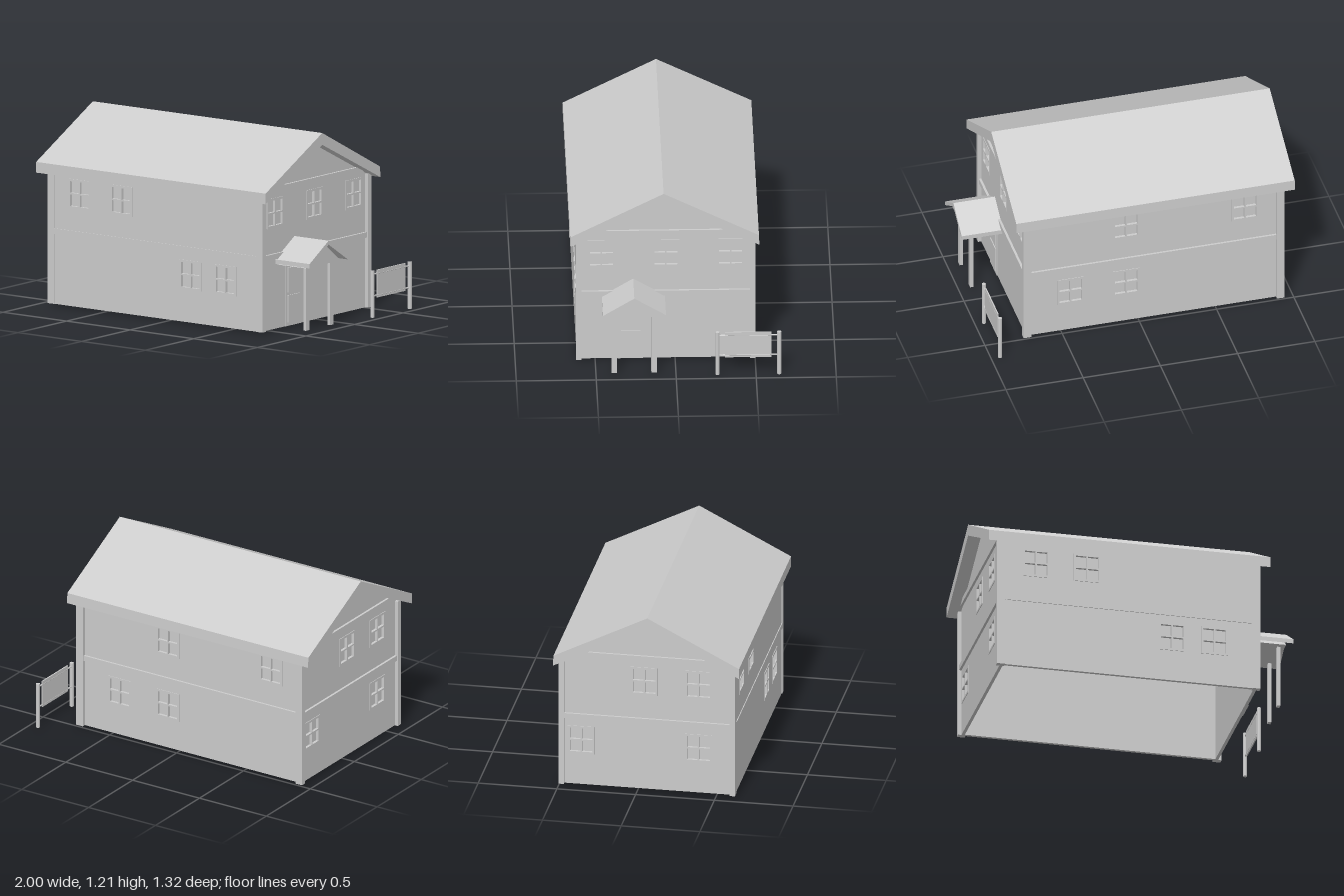
import * as THREE from 'three';

const mat = new THREE.MeshStandardMaterial({ color: 0xcccccc, flatShading: true, side: THREE.DoubleSide });
const RIDGE_Z = 0.074;

function add(parent, name, geometry, x = 0, y = 0, z = 0) {
  const mesh = new THREE.Mesh(geometry, mat);
  mesh.name = name;
  mesh.position.set(x, y, z);
  parent.add(mesh);
  return mesh;
}

// Box given by its limits on each axis
function span(parent, name, x0, x1, y0, y1, z0, z1) {
  return add(parent, name, new THREE.BoxGeometry(x1 - x0, y1 - y0, z1 - z0),
    (x0 + x1) / 2, (y0 + y1) / 2, (z0 + z1) / 2);
}

function polygon(points) {
  return new THREE.Shape(points.map(([x, y]) => new THREE.Vector2(x, y)));
}

function rectHole(x, y, w, h) {
  const p = new THREE.Path();
  p.moveTo(x - w / 2, y - h / 2);
  p.lineTo(x - w / 2, y + h / 2);
  p.lineTo(x + w / 2, y + h / 2);
  p.lineTo(x + w / 2, y - h / 2);
  p.closePath();
  return p;
}

// Profile in (z, y) extruded along x from x0 to x1
function alongX(parent, name, points, x0, x1) {
  const geo = new THREE.ExtrudeGeometry(polygon(points.map(([z, y]) => [-z, y])),
    { depth: x1 - x0, bevelEnabled: false });
  geo.rotateY(Math.PI / 2);
  return add(parent, name, geo, x0);
}

// Four-pane window in the wall's own frame, outer wall face at z = 0
const WIN_W = 0.172, WIN_H = 0.187;
function windowUnit(x, y) {
  const g = new THREE.Group();
  g.name = 'window';
  const frame = polygon([[-WIN_W / 2, -WIN_H / 2], [WIN_W / 2, -WIN_H / 2], [WIN_W / 2, WIN_H / 2], [-WIN_W / 2, WIN_H / 2]]);
  for (const sx of [-1, 1]) for (const sy of [-1, 1]) {
    frame.holes.push(rectHole(sx * 0.0385, sy * 0.042, 0.067, 0.074));
  }
  add(g, 'windowFrame', new THREE.ExtrudeGeometry(frame, { depth: 0.018, bevelEnabled: false }), 0, 0, -0.014);
  add(g, 'windowPane', new THREE.BoxGeometry(WIN_W, WIN_H, 0.006), 0, 0, -0.017);
  g.position.set(x, y, 0);
  return g;
}

// Wall with window openings; outline and windows use (u, y) in the wall plane
function wall(parent, name, outline, windows, angle, offset) {
  const g = new THREE.Group();
  g.name = name;
  const shape = polygon(outline);
  for (const [u, y] of windows) {
    shape.holes.push(rectHole(u, y, WIN_W, WIN_H));
    g.add(windowUnit(u, y));
  }
  add(g, name + 'Panel', new THREE.ExtrudeGeometry(shape, { depth: 0.02, bevelEnabled: false }), 0, 0, -0.02);
  g.rotation.y = angle;
  g.position.set(...offset);
  parent.add(g);
}

export function createModel() {
  const house = new THREE.Group();
  house.name = 'house';

  // Walls
  const top = 0.86, base = 0.01, zf = 0.615, zb = -0.478, xr = 0.728, xl = -0.918;
  const long = (a, b) => [[a, base], [b, base], [b, top], [a, top]];
  const gable = (a, b, c) => [[a, base], [b, base], [b, top], [c, 1.14], [a, top]];
  wall(house, 'frontWall', long(xl, xr),
    [[-0.69, 0.725], [-0.362, 0.725], [0.182, 0.31], [0.455, 0.31]], 0, [0, 0, zf]);
  wall(house, 'backWall', long(-xr, -xl),
    [[-0.08, 0.73], [0.69, 0.73], [-0.44, 0.3], [-0.08, 0.3]], Math.PI, [0, 0, zb]);
  wall(house, 'rightWall', gable(-zf, -zb, -RIDGE_Z),
    [[-0.461, 0.748], [-0.058, 0.748], [0.347, 0.75]], Math.PI / 2, [xr, 0, 0]);
  wall(house, 'leftWall', gable(zb, zf, RIDGE_Z),
    [[0.04, 0.74], [0.385, 0.74], [-0.36, 0.31], [0.385, 0.31]], -Math.PI / 2, [xl, 0, 0]);

  // Corner posts
  for (const x of [-0.94, 0.7]) for (const z of [-0.502, 0.585]) {
    span(house, 'cornerPost', x, x + 0.05, base, top, z, z + 0.035);
  }

  // Floor bands around the walls, and the gable beams
  span(house, 'frontBand', -0.89, 0.7, 0.455, 0.49, 0.59, 0.62);
  span(house, 'backBand', -0.89, 0.7, 0.455, 0.49, -0.492, -0.46);
  for (const [y0, y1, name] of [[0.455, 0.49, 'sideBand'], [0.88, 0.915, 'gableBeam']]) {
    span(house, name, 0.71, 0.743, y0, y1, -0.47, 0.585);
    span(house, name, -0.933, -0.9, y0, y1, -0.47, 0.585);
  }

  // Main roof
  alongX(house, 'roof', [[0.657, 0.905], [RIDGE_Z, 1.205], [-0.522, 0.905],
    [-0.525, 0.837], [RIDGE_Z, 1.13], [0.657, 0.837]], -1, 0.803);

  // Door
  const door = new THREE.Group();
  door.name = 'door';
  house.add(door);
  span(door, 'doorLeaf', 0.72, 0.733, base, 0.4, 0.2, 0.36);
  for (const [y0, y1] of [[0.032, 0.205], [0.222, 0.38]]) {
    span(door, 'doorPanel', 0.73, 0.739, y0, y1, 0.218, 0.34);
  }

  // Porch
  const porch = new THREE.Group();
  porch.name = 'porch';
  house.add(porch);
  alongX(porch, 'porchRoof', [[0.458, 0.45], [0.262, 0.57], [0.064, 0.45],
    [0.064, 0.422], [0.262, 0.545], [0.458, 0.422]], 0.72, 0.997);
  alongX(porch, 'porchGable', [[0.44, 0.415], [0.262, 0.55], [0.084, 0.415]], 0.72, 0.955);
  for (const z of [0.386, 0.137]) {
    span(porch, 'porchPost', 0.905, 0.927, base, 0.42, z - 0.017, z + 0.017);
  }

  // Sign board on two posts
  const sign = new THREE.Group();
  sign.name = 'sign';
  house.add(sign);
  for (const z of [-0.26, -0.645]) {
    add(sign, 'signPost', new THREE.CylinderGeometry(0.013, 0.013, 0.297, 12), 0.942, 0.1485, z);
  }
  for (const y of [0.273, 0.135]) {
    const rod = add(sign, 'signRod', new THREE.CylinderGeometry(0.005, 0.005, 0.385, 8), 0.942, y, -0.4525);
    rod.rotation.x = Math.PI / 2;
  }
  span(sign, 'signBoard', 0.938, 0.946, 0.12, 0.296, -0.597, -0.307);

  return house;
}
